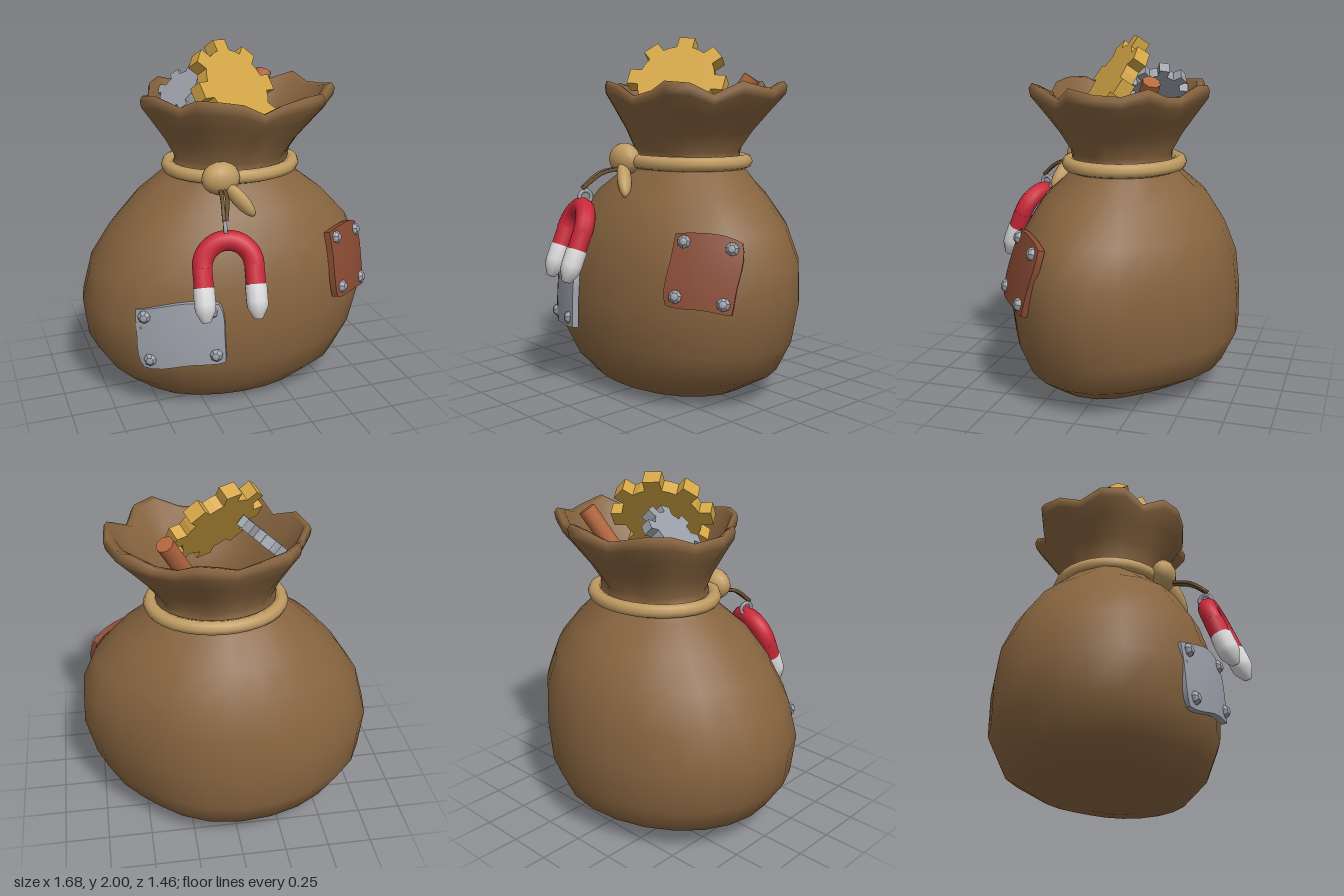
import * as THREE from 'three';

const paint = (name, color) => {
  const m = new THREE.MeshStandardMaterial({ color });
  m.name = name;
  return m;
};
const V = (x, y, z) => new THREE.Vector3(x, y, z);

export function createModel() {
  const model = new THREE.Group();
  model.name = 'scrapSack';
  const burlap = paint('burlap brown', 0x87643f);
  const rope = paint('rope tan', 0xbf9b62);
  const cordBrown = paint('cord brown', 0x6e5030);
  const steel = paint('steel grey', 0x9ca0a9);
  const rust = paint('rust red', 0x884a33);
  const gold = paint('brass gold', 0xd4a645);
  const copper = paint('copper', 0xb5683f);
  const red = paint('magnet red', 0xcb283a);
  const white = paint('magnet white', 0xdadada);

  const add = (name, geo, mat, parent = model) => {
    const mesh = new THREE.Mesh(geo, mat);
    mesh.name = name;
    parent.add(mesh);
    return mesh;
  };
  const flat = (geo) => {
    const g = geo.toNonIndexed();
    g.computeVertexNormals();
    return g;
  };
  // turns a mesh so that its local y axis runs from a to b, centred between them
  const span = (mesh, a, b) => {
    mesh.position.copy(a).add(b).multiplyScalar(0.5);
    mesh.quaternion.setFromUnitVectors(V(0, 1, 0), b.clone().sub(a).normalize());
    return mesh;
  };

  // ---- Sack: elliptical rings up to the neck, then blending to a wavy rim and back inside
  const rings = [ // y, centre x, centre z, radius x, radius z
    [0, -0.02, -0.05, 0, 0], [0, -0.02, -0.05, 0.27, 0.2], [0.035, -0.02, -0.04, 0.52, 0.41],
    [0.15, -0.005, -0.085, 0.697, 0.557], [0.32, -0.015, -0.092, 0.797, 0.63],
    [0.55, 0, -0.085, 0.84, 0.637], [0.77, 0.025, -0.09, 0.804, 0.612],
    [0.95, 0.043, -0.085, 0.705, 0.552], [1.12, 0.04, -0.083, 0.552, 0.45],
    [1.24, 0.03, -0.075, 0.39, 0.325], [1.3, 0.05, -0.07, 0.335, 0.285],
    [1.36, 0.055, -0.065, 0.315, 0.28],
  ];
  const rim = [0.55, 0.56, 0.49, 0.53, 0.53, 0.43, 0.45, 0.475, 0.505, 0.51, 0.475, 0.545,
    0.57, 0.51, 0.525, 0.53, 0.45, 0.41, 0.48, 0.48, 0.43, 0.47, 0.54, 0.52];
  const rimTop = [1.72, 1.75, 1.68, 1.74, 1.75, 1.7, 1.67, 1.73, 1.75, 1.75, 1.69, 1.74,
    1.72, 1.69, 1.74, 1.75, 1.71, 1.68, 1.74, 1.75, 1.69, 1.7, 1.75, 1.71];
  const flare = [ // height fraction from neck to rim top, spread fraction from neck to rim
    [0.3, 0.3], [0.6, 0.68], [0.82, 0.97], [0.93, 1], [1, 0.93], [0.97, 0.78],
    [0.6, 0.5], [0.25, 0.12], [-0.1, 0], [-0.6, -0.05], [-0.6, -1],
  ];
  const N = rim.length;
  const pos = [];
  const idx = [];
  const neck = rings[rings.length - 1];
  const foldAt = (i) => 1 + (rim[i] - 0.5) * 0.8;
  // the belly is flatter at the back left and fuller towards both front corners
  const bellyAt = (a) => {
    const c = Math.cos(a + 0.66);
    const left = Math.max(0, Math.cos(a - 0.65));
    return 1 - (c > 0 ? 0.1 : -0.045) * c ** 8 + 0.045 * left ** 6;
  };
  for (const [y, cx, cz, rx, rz] of rings) {
    for (let i = 0; i < N; i++) {
      const a = (i / N) * Math.PI * 2;
      const k = y > 1.2 ? foldAt(i) : bellyAt(a);
      pos.push(cx + Math.cos(a) * rx * k, y, cz + Math.sin(a) * rz * k);
    }
  }
  for (const [h, s] of flare) {
    for (let i = 0; i < N; i++) {
      const a = (i / N) * Math.PI * 2;
      const nx = neck[1] + Math.cos(a) * neck[3] * foldAt(i);
      const nz = neck[2] + Math.sin(a) * neck[4] * foldAt(i);
      const ox = 0.1 + Math.cos(a) * rim[i];
      const oz = -0.08 + Math.sin(a) * rim[i];
      const y = neck[0] + (rimTop[i] - neck[0]) * h;
      if (s === -1) pos.push(neck[1], y, neck[2]); // closes the inside floor
      else pos.push(nx + (ox - nx) * s, y, nz + (oz - nz) * s);
    }
  }
  for (let r = 0; r < rings.length + flare.length - 1; r++) {
    for (let i = 0; i < N; i++) {
      const a = r * N + i;
      const b = r * N + ((i + 1) % N);
      idx.push(a, a + N, b, b, a + N, b + N);
    }
  }
  const sackGeo = new THREE.BufferGeometry();
  sackGeo.setAttribute('position', new THREE.Float32BufferAttribute(pos, 3));
  sackGeo.setIndex(idx);
  sackGeo.computeVertexNormals();
  add('sack', sackGeo, burlap);

  // ---- Rope round the neck, knot and loose end
  const loop = [];
  for (let i = 0; i < 16; i++) {
    const a = (i / 16) * Math.PI * 2;
    loop.push(V(0.053 + Math.cos(a) * 0.366, 1.3, -0.07 + Math.sin(a) * 0.31));
  }
  add('neckRope', new THREE.TubeGeometry(new THREE.CatmullRomCurve3(loop, true), 32, 0.04, 8, true), rope);
  const knot = add('ropeKnot', new THREE.SphereGeometry(1, 14, 10), rope);
  knot.scale.set(0.11, 0.092, 0.075);
  knot.position.set(-0.115, 1.31, 0.255);
  const tail = add('ropeEnd', new THREE.SphereGeometry(1, 10, 8), rope);
  span(tail, V(-0.1, 1.29, 0.28), V(0.035, 1.12, 0.37));
  tail.scale.set(0.05, 0.125, 0.04);

  // ---- Cord holding the magnet, two strands
  for (const s of [-1, 1]) {
    const path = new THREE.CatmullRomCurve3([
      V(-0.12 + s * 0.012, 1.26, 0.29), V(-0.145 + s * 0.014, 1.235, 0.41), V(-0.178 + s * 0.006, 1.155, 0.51),
    ]);
    add('magnetCord', new THREE.TubeGeometry(path, 10, 0.011, 6), cordBrown);
  }

  // ---- Horseshoe magnet
  const magnet = new THREE.Group();
  magnet.name = 'magnet';
  magnet.position.set(-0.18, 0.925, 0.565);
  magnet.rotation.set(-0.375, -0.31, 0.07, 'YXZ');
  model.add(magnet);
  const arm = 0.137;
  add('magnetArch', new THREE.TorusGeometry(arm, 0.055, 10, 16, Math.PI), red, magnet);
  for (const s of [-1, 1]) {
    const leg = add('magnetLeg', new THREE.CylinderGeometry(0.055, 0.055, 0.11, 10), red, magnet);
    leg.position.set(s * arm, -0.055, 0);
    const tip = [[0, -0.288], [0.025, -0.285], [0.057, -0.225], [0.06, -0.19], [0.06, -0.1], [0.05, -0.1]]
      .map(([x, y]) => new THREE.Vector2(x, y));
    const cap = add('magnetTip', new THREE.LatheGeometry(tip, 10), white, magnet);
    cap.position.x = s * arm;
  }
  const link = add('magnetLink', new THREE.TorusGeometry(0.036, 0.012, 6, 12), steel, magnet);
  link.position.set(0, arm + 0.06, 0);
  link.rotation.y = Math.PI / 2;

  // ---- Riveted patches, thin plates bent to follow the belly
  const rivetProfile = [[0.037, 0], [0.034, 0.014], [0.02, 0.027], [0, 0.03]]
    .map(([x, y]) => new THREE.Vector2(x, y));
  const patch = (name, mat, w, h, at, rot) => {
    const g = new THREE.Group();
    g.name = name;
    g.position.copy(at);
    g.rotation.set(...rot, 'YXZ');
    model.add(g);
    const sag = (x, y) => -0.5 * x * x - 0.2 * y * y;
    const plate = new THREE.BoxGeometry(w, h, 0.035, 8, 8, 1);
    const p = plate.attributes.position;
    for (let i = 0; i < p.count; i++) {
      const x = p.getX(i);
      const y = p.getY(i);
      const corner = 1 - 0.06 * ((4 * x * y) / (w * h)) ** 4;
      p.setXYZ(i, x * corner + 0.006 * Math.sin(y * 17), y * corner + 0.008 * Math.sin(x * 15 + 1),
        p.getZ(i) + sag(x, y));
    }
    plate.computeVertexNormals();
    add('patchPlate', plate, mat, g);
    for (const sx of [-1, 1]) for (const sy of [-1, 1]) {
      const x = sx * (w / 2 - 0.06);
      const y = sy * (h / 2 - 0.055);
      const bolt = add('rivet', flat(new THREE.LatheGeometry(rivetProfile, 7)), steel, g);
      bolt.rotation.x = Math.PI / 2;
      bolt.position.set(x, y, 0.014 + sag(x, y));
    }
  };
  patch('steelPatch', steel, 0.485, 0.36, V(-0.425, 0.515, 0.482), [-0.06, -0.43, 0.12]);
  patch('rustPatch', rust, 0.37, 0.395, V(0.632, 0.78, 0.342), [-0.24, 0.7, -0.13]);

  // ---- Gears: toothed outline, extruded and faced along a direction
  const gear = (name, mat, teeth, outer, root, thick, at, facing, spin) => {
    const pts = [];
    const step = (Math.PI * 2) / teeth;
    for (let i = 0; i < teeth; i++) {
      for (const [f, r] of [[-0.27, root], [-0.21, outer], [0.21, outer], [0.27, root], [0.5, root]]) {
        const a = spin + (i + f) * step;
        pts.push(new THREE.Vector2(Math.cos(a) * r, Math.sin(a) * r));
      }
    }
    const geo = new THREE.ExtrudeGeometry(new THREE.Shape(pts), { depth: thick, bevelEnabled: false });
    const mesh = add(name, geo.translate(0, 0, -thick / 2), mat);
    mesh.position.copy(at);
    mesh.lookAt(at.clone().add(facing));
  };
  gear('brassGear', gold, 8, 0.29, 0.225, 0.08, V(0.048, 1.738, 0), V(0.43, 0.56, 0.71), Math.PI / 2 - 0.08);
  gear('steelGear', steel, 8, 0.18, 0.13, 0.06, V(-0.2, 1.7, -0.19), V(-0.65, 0.72, 0.2), 0.2);

  // ---- Copper rod
  const a = V(0.08, 1.25, -0.08);
  const b = V(0.345, 1.77, -0.3);
  span(add('copperRod', new THREE.CylinderGeometry(0.05, 0.05, a.distanceTo(b), 8), copper), a, b);

  return model;
}
